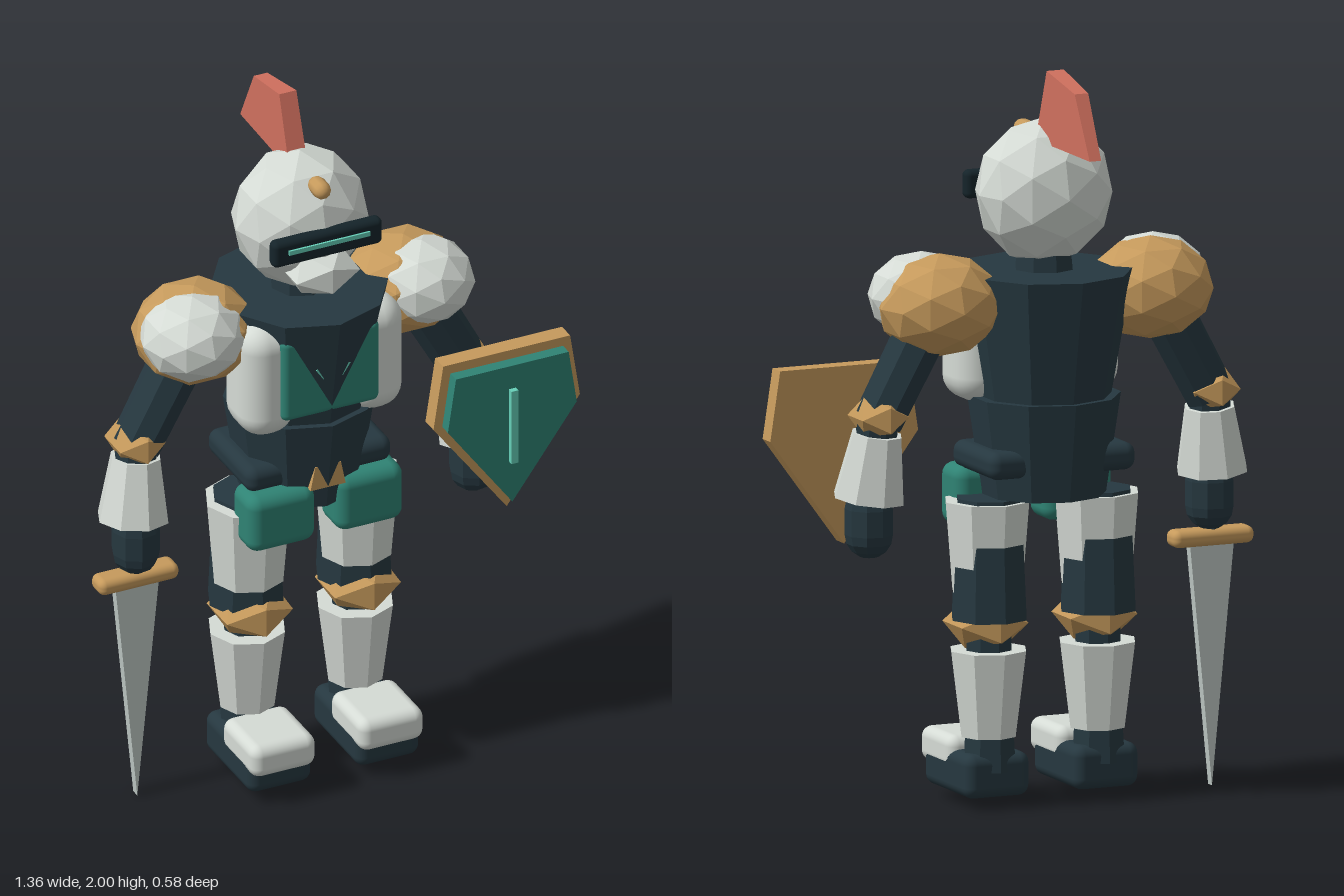
import * as THREE from 'three';
import { RoundedBoxGeometry } from 'three/addons/geometries/RoundedBoxGeometry.js';

const material = (name, color) => {
  const m = new THREE.MeshStandardMaterial({ color });
  m.name = name;
  return m;
};

// Faceted normals for the low-poly parts
function faceted(geometry) {
  const g = geometry.index ? geometry.toNonIndexed() : geometry;
  g.computeVertexNormals();
  return g;
}

export function createModel() {
  const plate = material('pale plate', 0xd5dbd5);
  const steel = material('blade steel', 0xc0cac6);
  const gold = material('gold trim', 0xc69a5c);
  const dark = material('dark suit', 0x263840);
  const black = material('visor black', 0x15242a);
  const teal = material('teal panel', 0x2f8374);
  const glow = material('glow mint', 0x66d0b8);
  const red = material('crest red', 0xd0705e);

  const model = new THREE.Group();
  model.name = 'knight';
  const body = new THREE.Group();
  body.name = 'body';
  body.position.x = -0.065;
  model.add(body);

  function add(name, geometry, mat, x = 0, y = 0, z = 0) {
    const mesh = new THREE.Mesh(geometry, mat);
    mesh.name = name;
    mesh.position.set(x, y, z);
    body.add(mesh);
    return mesh;
  }
  const pad = (name, mat, w, h, d, r, x, y, z) =>
    add(name, new RoundedBoxGeometry(w, h, d, 3, r), mat, x, y, z);
  const bar = (name, mat, w, h, d, x, y, z) =>
    add(name, new THREE.BoxGeometry(w, h, d), mat, x, y, z);
  // Icosahedron stretched to given radii
  const gem = (name, mat, rx, ry, rz, detail, x, y, z) =>
    add(name, faceted(new THREE.IcosahedronGeometry(1, detail).scale(rx, ry, rz)), mat, x, y, z);
  // Tapered prism between two heights
  function prism(name, mat, rTop, rBottom, y0, y1, sides, x, z, sx = 1) {
    const g = new THREE.CylinderGeometry(rTop, rBottom, y1 - y0, sides).scale(sx, 1, 1);
    return add(name, faceted(g), mat, x, (y0 + y1) / 2, z);
  }
  // Tapered prism from an upper point to a lower point
  function limb(name, mat, rTop, rBottom, from, to) {
    const a = new THREE.Vector3(...from), b = new THREE.Vector3(...to);
    const dir = a.clone().sub(b);
    const mesh = add(name, faceted(new THREE.CylinderGeometry(rTop, rBottom, dir.length(), 8)), mat);
    mesh.position.addVectors(a, b).multiplyScalar(0.5);
    mesh.quaternion.setFromUnitVectors(new THREE.Vector3(0, 1, 0), dir.normalize());
  }
  // Flat outline given thickness along z
  function slab(points, depth) {
    const shape = new THREE.Shape(points.map((p) => new THREE.Vector2(...p)));
    return new THREE.ExtrudeGeometry(shape, { depth, bevelEnabled: false });
  }

  // Torso
  prism('chest', dark, 0.252, 0.19, 1.11, 1.45, 10, 0, 0.035, 0.95);
  prism('waist', dark, 0.207, 0.167, 0.84, 1.11, 10, 0, 0.035, 1.0);
  prism('neck', dark, 0.075, 0.085, 1.42, 1.52, 8, 0, 0.035);
  pad('chestPanel', teal, 0.29, 0.25, 0.1, 0.02, 0, 1.275, 0.186);
  pad('belt', dark, 0.43, 0.075, 0.27, 0.03, 0, 0.943, 0.035);
  add('buckle', slab([[-0.052, 0.905], [0.052, 0.905], [0.038, 0.975], [-0.038, 0.975]], 0.04), gold, 0, 0, 0.172);
  for (const s of [-1, 1]) {
    pad('breastPlate', plate, 0.16, 0.34, 0.19, 0.07, s * 0.16, 1.26, 0.125);
    const mark = bar('chestMark', glow, 0.009, 0.04, 0.008, s * 0.036, 1.283, 0.24);
    mark.rotation.z = -s * 0.6;
    pad('hipGuard', teal, 0.2, 0.17, 0.13, 0.035, s * 0.13, 0.83, 0.15);
  }

  // Head
  gem('helmet', plate, 0.19, 0.2, 0.168, 1, 0, 1.66, 0.037);
  gem('mouthGuard', plate, 0.11, 0.07, 0.088, 0, 0, 1.56, 0.168);
  pad('visor', black, 0.325, 0.078, 0.04, 0.016, 0, 1.662, 0.197);
  bar('visorLight', glow, 0.24, 0.013, 0.008, 0, 1.668, 0.219);
  add('browStud', new THREE.CapsuleGeometry(0.025, 0.03, 4, 10).rotateX(Math.PI / 2), gold, 0, 1.808, 0.158);

  // Crest, thinner toward the back
  const crest = slab([[0.03, 1.8], [-0.037, 2.0], [-0.206, 1.965], [-0.296, 1.797], [-0.1, 1.8]], 1);
  crest.translate(0, 0, -0.5).rotateY(-Math.PI / 2);
  const p = crest.attributes.position;
  for (let i = 0; i < p.count; i++) p.setX(i, p.getX(i) * (0.053 + 0.065 * p.getZ(i)));
  add('crest', faceted(crest), red);

  // Arms
  for (const s of [-1, 1]) {
    gem('shoulder', gold, 0.172, 0.14, 0.165, 1, s * 0.31, 1.375, 0.03);
    gem('shoulderPlate', plate, 0.145, 0.12, 0.145, 1, s * 0.34, 1.395, 0.08);
    limb('upperArm', dark, 0.075, 0.07, [s * 0.33, 1.36, 0.035], [s * 0.488, 1.07, 0.037]);
    gem('elbow', gold, 0.08, 0.065, 0.095, 0, s * 0.487, 1.085, 0.035);
    limb('forearm', dark, 0.06, 0.055, [s * 0.486, 1.1, 0.035], [s * 0.5, 0.82, 0.062]);
    limb('gauntlet', plate, 0.07, 0.1, [s * 0.488, 1.037, 0.04], [s * 0.504, 0.858, 0.058]);
    add('hand', faceted(new THREE.CapsuleGeometry(0.066, 0.07, 4, 9)), dark, s * 0.5, 0.795, 0.065);
  }

  // Legs
  for (const s of [-1, 1]) {
    const x = s * 0.16;
    prism('thigh', dark, 0.092, 0.107, 0.51, 0.84, 8, x, 0.037);
    prism('thighPlate', plate, 0.12, 0.1, 0.585, 0.83, 8, x, 0.05);
    prism('kneeJoint', dark, 0.065, 0.065, 0.38, 0.55, 8, x, 0.04);
    gem('kneePlate', gold, 0.115, 0.078, 0.12, 0, x, 0.495, 0.062);
    prism('shin', plate, 0.108, 0.078, 0.19, 0.425, 8, x, 0.043);
    prism('ankle', dark, 0.068, 0.075, 0.1, 0.22, 8, x, 0.035);
    pad('boot', dark, 0.19, 0.12, 0.29, 0.03, x, 0.09, 0.115);
    pad('toeCap', plate, 0.192, 0.095, 0.205, 0.03, x, 0.138, 0.182);
  }

  // Sword in the right hand
  pad('swordGuard', gold, 0.237, 0.047, 0.07, 0.02, -0.5, 0.677, 0.062);
  prism('swordGrip', dark, 0.025, 0.025, 0.66, 0.86, 8, -0.5, 0.062);
  add('swordBlade', slab([[-0.065, 0.665], [0, 0], [0.065, 0.665]], 0.025), steel, -0.5, 0, 0.05);

  // Shield on the left hand
  const crestOutline = (top, yTop, mid, yMid, yTip) =>
    [[-top, yTop], [-mid, yMid], [0, yTip], [mid, yMid], [top, yTop]];
  add('shieldRim', slab(crestOutline(0.188, 1.2, 0.217, 1.01, 0.717), 0.05), gold, 0.523, 0, 0.175);
  add('shieldFace', slab(crestOutline(0.167, 1.173, 0.191, 1.013, 0.75), 0.035), teal, 0.523, 0, 0.225);
  bar('shieldLight', glow, 0.02, 0.225, 0.016, 0.523, 0.99, 0.268);

  return model;
}
